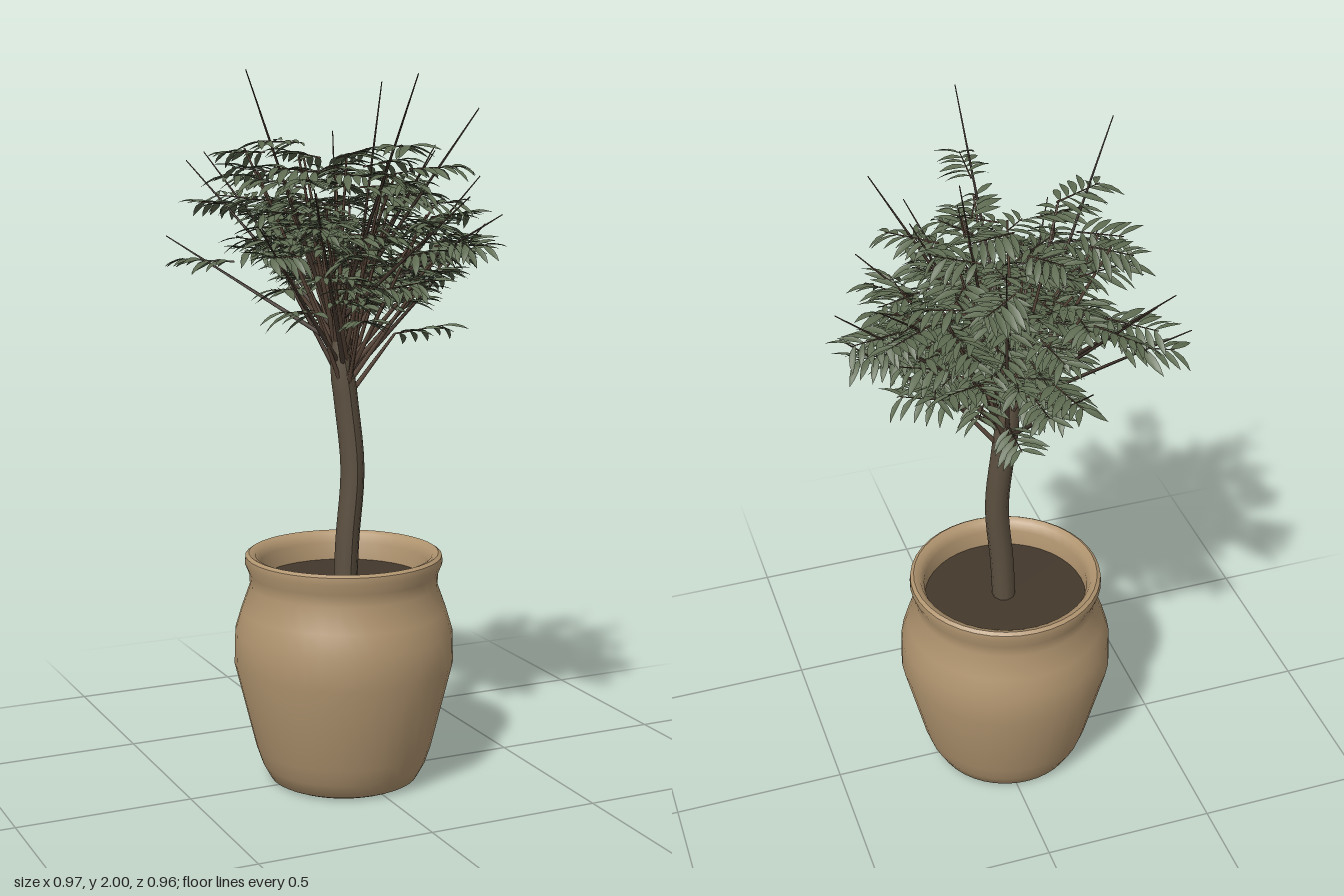
import * as THREE from 'three';
import { mergeGeometries, toCreasedNormals } from 'three/addons/utils/BufferGeometryUtils.js';

const V = (x, y, z) => new THREE.Vector3(x, y, z);
const UP = V(0, 1, 0);

// small seeded generator
let seed = 11;
const rnd = (a = 0, b = 1) => {
  seed = (seed * 16807) % 2147483647;
  return a + (b - a) * (seed / 2147483647);
};

// straight tapered rod between two points
function rod(a, b, r0, r1, sides = 5) {
  const d = b.clone().sub(a);
  const g = new THREE.CylinderGeometry(r1, r0, d.length(), sides);
  g.applyQuaternion(new THREE.Quaternion().setFromUnitVectors(UP, d.clone().normalize()));
  const m = a.clone().add(b).multiplyScalar(0.5);
  return g.translate(m.x, m.y, m.z);
}

// one pointed leaflet of unit length along +z, folded at the midrib and drooping at the tip
function leafletShape() {
  const g = new THREE.PlaneGeometry(2, 1, 2, 4).rotateX(-Math.PI / 2).translate(0, 0, 0.5);
  const p = g.attributes.position;
  const widths = [0.02, 0.1, 0.13, 0.09, 0];
  for (let i = 0; i < p.count; i++) {
    const side = p.getX(i), t = p.getZ(i);
    const w = widths[Math.round(t * 4)];
    p.setXYZ(i, side * w + 0.1 * t * t, Math.abs(side) * w * 0.35 - 0.24 * t * t, t);
  }
  g.computeVertexNormals();
  return g;
}

// pinnate spray: a thin stalk with pairs of leaflets
function spray(base, dir, length, pairs, leaf, leaves, stems) {
  const end = base.clone().addScaledVector(dir, length);
  stems.push(rod(base, end, 0.003, 0.0015, 3));
  const heading = Math.atan2(dir.x, dir.z);
  const roll = rnd(-0.35, 0.35);
  for (let i = 0; i < pairs; i++) {
    const t = (i + 0.5) / pairs;
    const at = base.clone().lerp(end, t);
    const size = 0.09 * (1 - 0.3 * Math.abs(t - 0.4)) * rnd(0.85, 1.1);
    for (const s of [-1, 1]) {
      const q = new THREE.Quaternion().setFromEuler(new THREE.Euler(
        rnd(-0.15, 0.2) + s * roll, heading + s * (1.1 - 0.35 * t), rnd(-0.35, 0.35), 'YXZ'));
      leaves.push(leaf.clone().applyMatrix4(new THREE.Matrix4().compose(at, q, V(size, size, size))));
    }
  }
}

export function createModel() {
  seed = 11;
  const group = new THREE.Group();
  const mat = (color, extra = {}) => new THREE.MeshStandardMaterial({ color, ...extra });
  const add = (name, geometry, material) => {
    const m = new THREE.Mesh(geometry, material);
    m.name = name;
    group.add(m);
    return m;
  };

  // pot: open foot, outer belly, rolled rim and inner wall down to the soil
  const profile = [
    [0.178, 0.004], [0.195, 0], [0.212, 0.008], [0.235, 0.05], [0.252, 0.1], [0.312, 0.345],
    [0.309, 0.44], [0.291, 0.5], [0.266, 0.57], [0.268, 0.605], [0.28, 0.635], [0.278, 0.655],
    [0.268, 0.662], [0.25, 0.655], [0.238, 0.63], [0.236, 0.54],
  ].map(([r, y]) => new THREE.Vector2(r, y));
  const pot = add('pot', toCreasedNormals(new THREE.LatheGeometry(profile, 40), 0.8),
    mat(0xb0946f, { side: THREE.DoubleSide }));
  pot.position.x = -0.03;

  // soil
  const soil = add('soil', new THREE.CircleGeometry(0.24, 40).rotateX(-Math.PI / 2), mat(0x43382c));
  soil.position.set(-0.03, 0.58, 0);

  // trunk: gently bent tube, tapered inside the crown
  const path = new THREE.CatmullRomCurve3([
    V(-0.028, 0.55, 0.005), V(-0.022, 0.7, 0.008), V(-0.008, 0.9, 0.012),
    V(-0.025, 1.1, 0.004), V(-0.042, 1.25, 0), V(-0.035, 1.42, 0),
  ]);
  const trunkGeo = new THREE.TubeGeometry(path, 20, 0.034, 10);
  const tp = trunkGeo.attributes.position;
  for (let i = 0; i < tp.count; i++) {
    const row = Math.floor(i / 11) / 20;
    const c = path.getPointAt(row);
    const k = 1 - 0.7 * Math.max(0, row - 0.7) / 0.3;
    const v = V().fromBufferAttribute(tp, i).sub(c).multiplyScalar(k).add(c);
    tp.setXYZ(i, v.x, v.y, v.z);
  }
  trunkGeo.computeVertexNormals();
  add('trunk', trunkGeo, mat(0x5c5040));

  const leaf = leafletShape();
  const leaves = [], stems = [], spikes = [];
  const onTrunk = () => path.getPointAt(rnd(0.66, 0.95))
    .add(V(rnd(-0.015, 0.015), 0, rnd(-0.015, 0.015)));

  // crown branches, spread by the golden angle, each bearing leaf sprays at several heights
  const count = 42;
  for (let i = 0; i < count; i++) {
    const a = i * 2.39996;
    const r = 0.3 * Math.sqrt((i + 0.5) / count);
    const start = onTrunk();
    const end = V(r * Math.sin(a) - 0.005, rnd(1.46, 1.79), r * Math.cos(a));
    stems.push(rod(start, end, 0.008, 0.003));
    for (const [t, turn] of [[1, rnd(-0.9, 0)], [0.9, rnd(0.3, 1.2)], [0.68, rnd(-1, 1)]]) {
      const h = a + turn;
      const dir = V(Math.sin(h), rnd(-0.1, 0.25), Math.cos(h)).normalize();
      const base = start.clone().lerp(end, t).addScaledVector(dir, -0.06);
      base.y += rnd(-0.04, 0.03);
      spray(base, dir, rnd(0.12, 0.16), 5, leaf, leaves, stems);
    }
  }

  // a few low sprays drooping below the crown
  for (const [x, y, z] of [[0.2, 1.29, 0.05], [-0.22, 1.36, 0.1], [0.02, 1.3, -0.24], [-0.06, 1.34, 0.2]]) {
    const dir = V(x, 0.03, z).normalize();
    const base = V(x, y, z).addScaledVector(dir, -0.09);
    stems.push(rod(path.getPointAt(0.63), base, 0.008, 0.004));
    spray(base, dir, 0.15, 5, leaf, leaves, stems);
  }

  // long bare shoots standing out of the crown, with a level spray below each tip
  const tips = [
    [-0.37, 2, 0.14], [-0.04, 1.99, 0.47], [0.11, 1.97, -0.05], [0.28, 1.9, 0.2],
    [0.38, 1.77, -0.25], [0.46, 1.7, -0.12], [-0.46, 1.55, -0.24], [-0.1, 1.57, -0.47],
    [-0.27, 1.77, -0.44], [-0.35, 1.75, -0.37], [0.43, 1.57, -0.03], [0.12, 1.68, 0.45],
    [0.06, 1.83, -0.27], [-0.38, 1.6, 0.25], [0.3, 1.62, 0.3], [-0.25, 1.7, 0.3], [0.2, 1.8, 0.1],
  ];
  for (const [x, y, z] of tips) {
    const tip = V(x, y, z);
    spikes.push(rod(onTrunk(), tip, 0.008, 0.0015));
    const dir = V(x, 0.02, z).normalize();
    const base = tip.clone().addScaledVector(dir, -0.19);
    base.y -= 0.05 + 0.26 * Math.max(0, y - 1.5);
    spray(base, dir, 0.15, 6, leaf, leaves, stems);
  }

  add('branches', mergeGeometries(stems), mat(0x5e4a3c));
  add('shoots', mergeGeometries(spikes), mat(0x4a3c32));
  add('leaves', mergeGeometries(leaves), mat(0x5d6a50, { side: THREE.DoubleSide }));
  return group;
}
